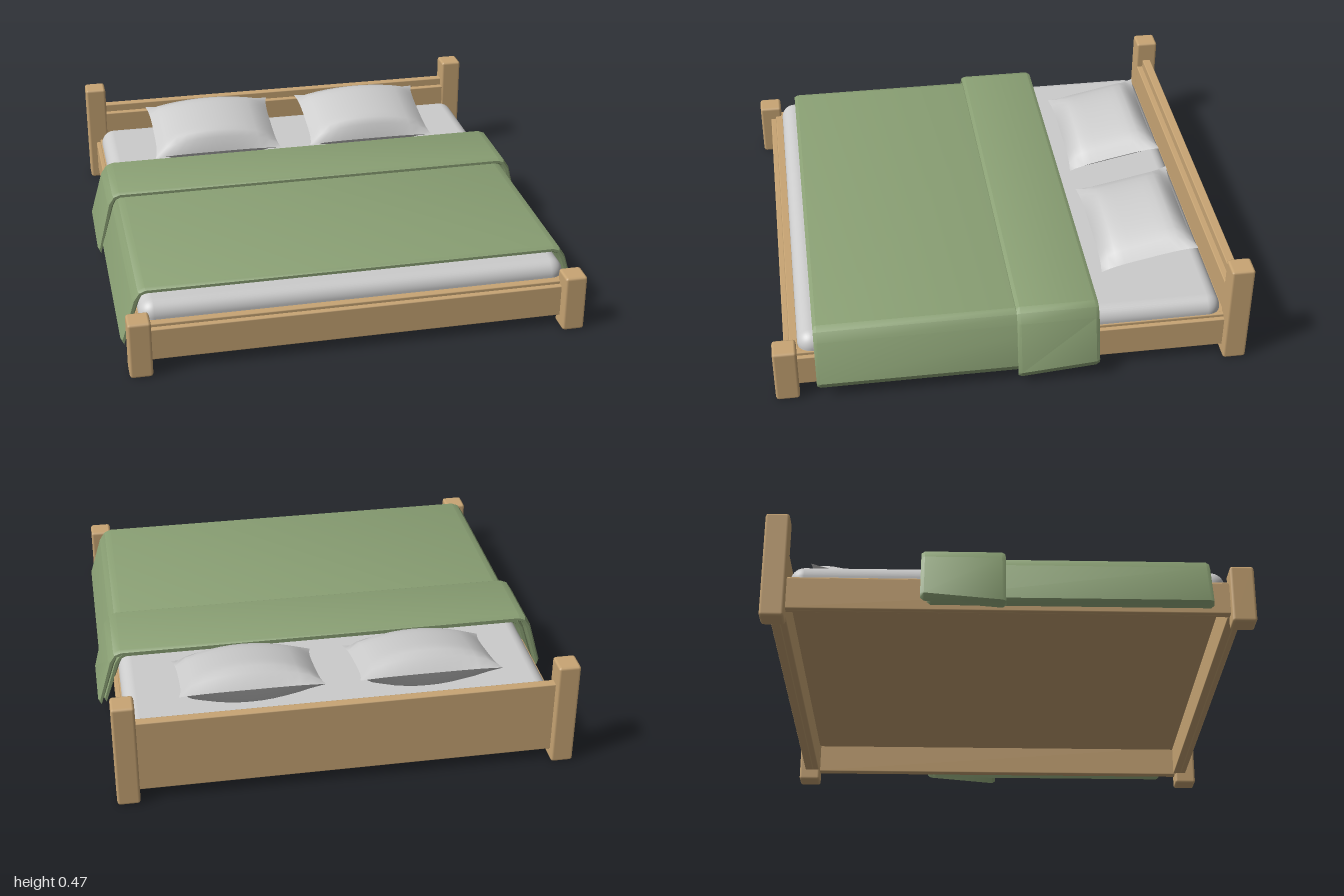
import * as THREE from 'three';
import { mergeGeometries, toCreasedNormals } from 'three/addons/utils/BufferGeometryUtils.js';
import { RoundedBoxGeometry } from 'three/addons/geometries/RoundedBoxGeometry.js';

const wood = new THREE.MeshStandardMaterial({ color: 0xc8a574 });
const green = new THREE.MeshStandardMaterial({ color: 0x8aa074, side: THREE.DoubleSide });
const grey = new THREE.MeshStandardMaterial({ color: 0xcccccc });

function add(parent, name, geometry, material) {
  const mesh = new THREE.Mesh(geometry, material);
  mesh.name = name;
  parent.add(mesh);
  return mesh;
}

// Softly bevelled wooden block given by its extents
function block(parent, name, [x0, x1], [y0, y1], [z0, z1], r = 0.005) {
  const geo = new RoundedBoxGeometry(x1 - x0, y1 - y0, z1 - z0, 1, r);
  geo.translate((x0 + x1) / 2, (y0 + y1) / 2, (z0 + z1) / 2);
  return add(parent, name, geo, wood);
}

// Cloth sheet: a thin arch-like section swept along z, with chamfered ends
function drape(top, bottom, halfWidth, z0, z1, slant) {
  const o = halfWidth - 0.975;
  const outer = [
    [0.865 + o, top], [0.895 + o, top - 0.012], [0.92 + o, top - 0.05],
    [halfWidth, bottom + 0.03], [halfWidth - 0.014, bottom],
  ];
  const inner = [[0.893 + o, top - 0.062], [0.88 + o, top - 0.036], [0.86 + o, top - 0.028]];
  const half = [...outer, ...inner];
  // right outer, right inner, left inner, left outer
  const mirrored = half.map(([x, y]) => [-x, y]).reverse();
  const shape = new THREE.Shape([...half, ...mirrored].map(([x, y]) => new THREE.Vector2(x, y)));
  const bevel = 0.015;
  const geo = new THREE.ExtrudeGeometry(shape, {
    depth: z1 - z0 - 2 * bevel, bevelEnabled: true, bevelThickness: bevel,
    bevelSize: 0.008, bevelOffset: -0.008, bevelSegments: 1,
  });
  geo.translate(0, 0, z0 + bevel);
  // raise the hem toward the head end
  const p = geo.attributes.position;
  for (let i = 0; i < p.count; i++) {
    if (p.getY(i) < 0.15) p.setY(i, p.getY(i) + slant * (z1 - p.getZ(i)) / (z1 - z0));
  }
  return toCreasedNormals(geo, 0.5);
}

// Pillow: two bulging sheets meeting in a seam with pointed corners
function pillowGeometry(halfX, halfZ, bulge) {
  const sides = [1, -1].map((s) => {
    const geo = new THREE.PlaneGeometry(2, 2, 12, 12).rotateX(-s * Math.PI / 2);
    const p = geo.attributes.position;
    for (let i = 0; i < p.count; i++) {
      const u = p.getX(i), v = p.getZ(i);
      const h = Math.pow(Math.max(0, 1 - u * u), 0.65) * Math.max(0, 1 - Math.pow(Math.abs(v), 7));
      p.setXYZ(i,
        u * halfX * (1 - 0.05 * (1 - v ** 4)),
        s * bulge * h,
        v * halfZ * (1 - 0.06 * (1 - u ** 4)));
    }
    geo.computeVertexNormals();
    return geo;
  });
  return mergeGeometries(sides);
}

export function createModel() {
  const bed = new THREE.Group();
  bed.name = 'bed';

  const frame = new THREE.Group();
  frame.name = 'frame';
  bed.add(frame);

  // Posts and side rails, mirrored left and right
  for (const s of [-1, 1]) {
    const side = s > 0 ? 'left' : 'right';
    const span = (a, b) => (s > 0 ? [a, b] : [-b, -a]);
    block(frame, side + 'HeadPost', span(0.865, 0.96), [0, 0.47], [-1, -0.9], 0.012);
    block(frame, side + 'FootPost', span(0.865, 0.96), [0, 0.25], [0.9, 1], 0.012);
    block(frame, side + 'RailOuter', span(0.902, 0.924), [0.05, 0.19], [-0.92, 0.92]);
    block(frame, side + 'RailInner', span(0.885, 0.905), [0.05, 0.203], [-0.91, 0.91]);
  }

  // Head and foot boards, each a panel with a stepped inner board
  block(frame, 'headboardPanel', [-0.88, 0.88], [0.05, 0.375], [-0.972, -0.932]);
  block(frame, 'headboardInner', [-0.88, 0.88], [0.05, 0.34], [-0.935, -0.905]);
  block(frame, 'footboardPanel', [-0.88, 0.88], [0.05, 0.19], [0.925, 0.952]);
  block(frame, 'footboardInner', [-0.88, 0.88], [0.05, 0.203], [0.892, 0.928]);

  // Platform under the mattress
  block(frame, 'platform', [-0.9, 0.9], [0.185, 0.202], [-0.92, 0.91], 0.003);

  // Mattress, rounded above and flat beneath
  const mattress = new RoundedBoxGeometry(1.8, 0.14, 1.79, 5, 0.06);
  mattress.translate(0, 0.2, 0);
  const mp = mattress.attributes.position;
  for (let i = 0; i < mp.count; i++) mp.setY(i, Math.max(0.2, mp.getY(i)));
  add(bed, 'mattress', mattress, grey);

  // Blanket and its turned-back fold
  add(bed, 'blanket', drape(0.31, 0.052, 0.977, -0.33, 0.828, 0), green);
  add(bed, 'blanketFold', drape(0.332, 0.03, 1, -0.357, -0.012, 0.03), green);

  // Pillows, tipped up toward the headboard
  const pillow = pillowGeometry(0.303, 0.213, 0.085);
  for (const s of [-1, 1]) {
    const mesh = add(bed, s > 0 ? 'leftPillow' : 'rightPillow', pillow, grey);
    mesh.position.set(s * 0.375, 0.345, -0.624);
    mesh.rotation.x = 0.21;
  }
  return bed;
}
